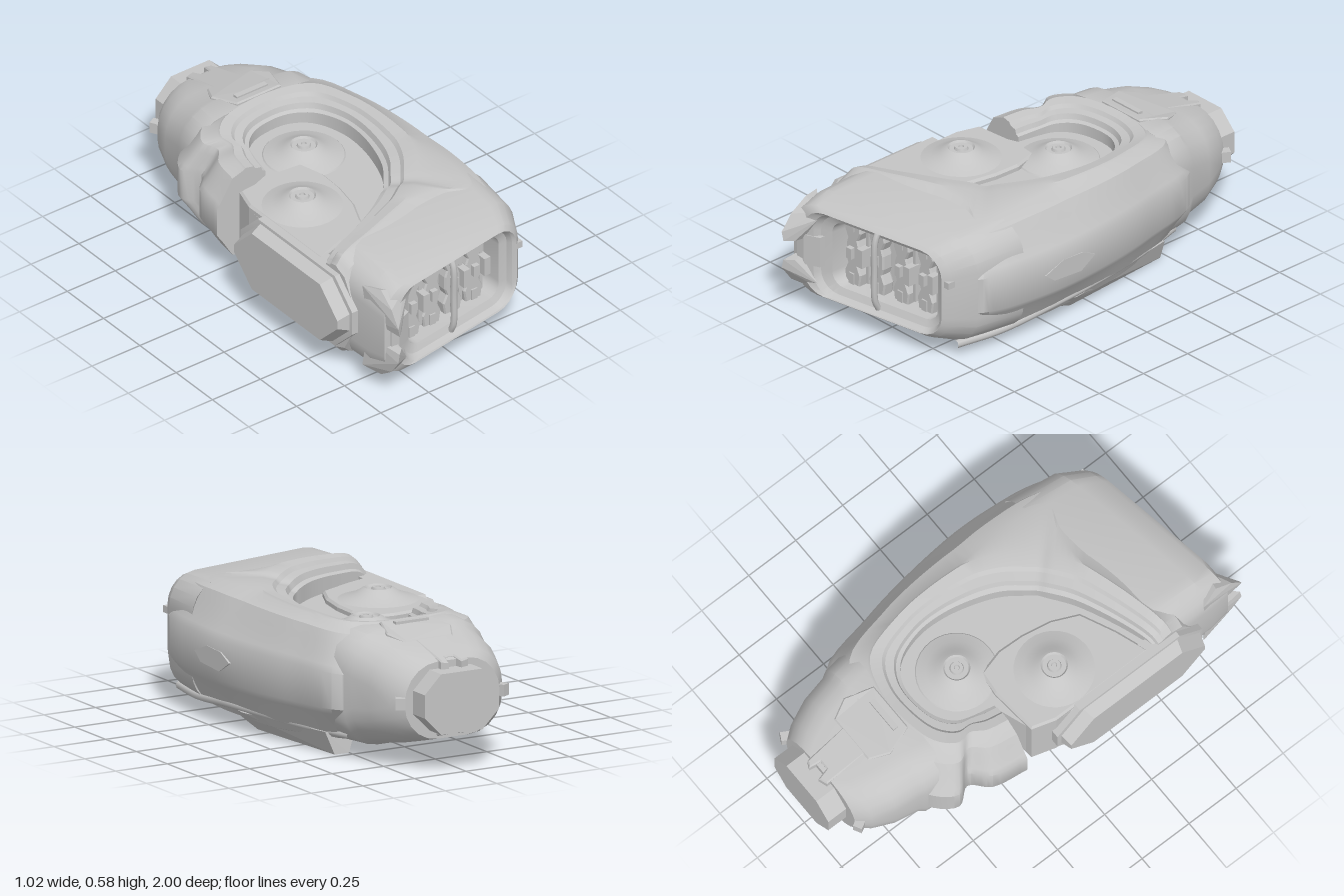
import * as THREE from 'three';
import { mergeVertices, toCreasedNormals } from 'three/addons/utils/BufferGeometryUtils.js';
import { ConvexGeometry } from 'three/addons/geometries/ConvexGeometry.js';

const MID = 0.295; // height of the plane about which most parts mirror
const V = (x, y, z) => new THREE.Vector3(x, y, z);

// Rounded (or, with seg = 1, chamfered) rectangle as a loop of [u, v]
function ring(u0, u1, v0, v1, r, seg) {
  const loop = [];
  [[u1 - r, v1 - r], [u0 + r, v1 - r], [u0 + r, v0 + r], [u1 - r, v0 + r]].forEach(([u, v], c) => {
    for (let i = 0; i <= seg; i++) {
      const a = (c + i / seg) * Math.PI / 2;
      loop.push([u + r * Math.cos(a), v + r * Math.sin(a)]);
    }
  });
  return loop;
}

// Skin over closed rings; either capped or joined end to start
function loft(rings, joined = false, crease = 0.6) {
  const n = rings[0].length, m = rings.length, pos = [], idx = [];
  rings.forEach(r => r.forEach(p => pos.push(p.x, p.y, p.z)));
  for (let i = 0; i < (joined ? m : m - 1); i++) {
    for (let j = 0; j < n; j++) {
      const a = i * n + j, b = i * n + (j + 1) % n;
      const c = ((i + 1) % m) * n + j, d = ((i + 1) % m) * n + (j + 1) % n;
      idx.push(a, b, c, b, d, c);
    }
  }
  if (!joined) {
    [0, m - 1].forEach(k => {
      const c = rings[k].reduce((s, p) => s.add(p), V(0, 0, 0)).divideScalar(n);
      const ci = pos.length / 3;
      pos.push(c.x, c.y, c.z);
      for (let j = 0; j < n; j++) {
        const a = k * n + j, b = k * n + (j + 1) % n;
        if (k === 0) idx.push(ci, b, a); else idx.push(ci, a, b);
      }
    });
  }
  // Turn the faces outward if the enclosed volume is negative
  const p = i => V(pos[3 * i], pos[3 * i + 1], pos[3 * i + 2]);
  let vol = 0;
  for (let i = 0; i < idx.length; i += 3) vol += p(idx[i]).dot(p(idx[i + 1]).cross(p(idx[i + 2])));
  if (vol < 0) for (let i = 0; i < idx.length; i += 3) [idx[i], idx[i + 1]] = [idx[i + 1], idx[i]];
  const g = new THREE.BufferGeometry();
  g.setAttribute('position', new THREE.Float32BufferAttribute(pos, 3));
  g.setIndex(idx);
  return toCreasedNormals(mergeVertices(g), crease);
}

export function createModel() {
  const model = new THREE.Group();
  model.name = 'enginePod';
  const grey = new THREE.MeshStandardMaterial({ color: 0xc4c4c4 });
  grey.name = 'hull grey';

  const add = (name, geo) => {
    const m = new THREE.Mesh(geo, grey);
    m.name = name;
    model.add(m);
    return m;
  };
  const box = (name, w, h, d, x, y, z) => add(name, new THREE.BoxGeometry(w, h, d).translate(x, y, z));
  const pipe = (name, pts, r) => add(name, new THREE.TubeGeometry(
    new THREE.CatmullRomCurve3(pts.map(p => V(...p))), 48, r, 8));
  const slab = (pts, top, depth, bevel = 0) => new THREE.ExtrudeGeometry(
    new THREE.Shape(pts.map(p => new THREE.Vector2(...p))),
    { depth, bevelEnabled: bevel > 0, bevelSize: bevel, bevelThickness: bevel, bevelSegments: 1 })
    .rotateX(Math.PI / 2).translate(0, top, 0);

  // Hull: outer x, z, inner x, z, top y, bottom y, swept round the recess
  const stations = [
    [-0.435, 0.73, -0.435, 0.52, 0.5, 0.09], [-0.39, 0.73, -0.39, 0.51, 0.545, 0.05],
    [-0.2, 0.71, -0.25, 0.46, 0.57, 0.025],
    [0.05, 0.67, -0.08, 0.38, 0.582, 0.012], [0.3, 0.64, 0.02, 0.31, 0.577, 0.02],
    [0.43, 0.68, 0.06, 0.28, 0.565, 0.035], [0.475, 0.58, 0.09, 0.24, 0.572, 0.025],
    [0.5, 0.4, 0.14, 0.17, 0.58, 0.015], [0.508, 0.2, 0.18, 0.08, 0.58, 0.012],
    [0.48, -0.1, 0.22, -0.08, 0.577, 0.015], [0.44, -0.32, 0.22, -0.22, 0.572, 0.03],
    [0.36, -0.6, 0.17, -0.35, 0.56, 0.05], [0.15, -0.66, 0.08, -0.41, 0.555, 0.055],
    [-0.1, -0.66, -0.05, -0.41, 0.555, 0.055], [-0.32, -0.61, -0.13, -0.38, 0.55, 0.06],
    [-0.41, -0.5, -0.18, -0.33, 0.54, 0.065], [-0.36, -0.42, -0.2, -0.27, 0.53, 0.07],
    [-0.43, -0.34, -0.21, -0.22, 0.525, 0.075], [-0.46, -0.18, -0.22, -0.165, 0.52, 0.08]];
  const outer = new THREE.CatmullRomCurve3(stations.map(s => V(s[0], s[4], s[1])));
  const inner = new THREE.CatmullRomCurve3(stations.map(s => V(s[2], s[5], s[3])));
  const hullRings = [], lip = [];
  for (let i = 0; i <= 90; i++) {
    const o = outer.getPoint(i / 90), n = inner.getPoint(i / 90);
    const len = Math.hypot(n.x - o.x, n.z - o.z), k = Math.min(1, len / 0.34);
    // Distance inward from the outer edge, and share of the half height;
    // the lip steps down twice into the recess
    const profile = [[0, 0.3], [0.02 * k, 0.4], [0.05 * k, 0.55], [0.076 * k, 0.7], [0.108 * k, 0.87],
      [0.19 * k, 0.97], [len - 0.14 * k, 1], [len - 0.085 * k, 0.97], [len - 0.07 * k, 0.91],
      [len - 0.03 * k, 0.89], [len - 0.02 * k, 0.8], [len, 0.77], [len, 0.4]];
    const at = (d, y) => V(o.x + (n.x - o.x) * d / len, y, o.z + (n.z - o.z) * d / len);
    hullRings.push([
      ...profile.map(([d, h]) => at(d, MID + (o.y - MID) * h)),
      ...profile.reverse().map(([d, h]) => at(d, MID - (MID - n.y) * h))]);
    lip.push([n.x, n.z]);
  }
  add('hull', loft(hullRings));

  // Recess floor and the raised panel on both faces
  add('recessFloor', slab([...lip, [-0.4, -0.1], [-0.43, 0]], 0.445, 0.30));
  add('recessPanel', slab([[-0.39, -0.1], [-0.18, -0.12], [-0.08, -0.11], [-0.05, 0], [-0.055, 0.12],
    [-0.08, 0.25], [-0.13, 0.36], [-0.28, 0.43], [-0.42, 0.48], [-0.42, 0]], 0.462, 0.334, 0.01));

  // Domed hubs with a sunken bolt
  const hubGeo = toCreasedNormals(new THREE.LatheGeometry([[0.19, -0.02], [0.17, 0.002], [0.13, 0.014],
    [0.09, 0.032], [0.07, 0.046], [0.057, 0.052], [0.05, 0.043], [0.03, 0.043], [0.026, 0.054],
    [0.012, 0.054], [0.01, 0.046], [0, 0.046]].map(p => new THREE.Vector2(...p)), 32), 0.5);
  [[0, -0.19, 0.448], [-0.25, 0.13, 0.47]].forEach(([x, z, y]) => {
    add('upperHub', hubGeo).position.set(x, y, z);
    const low = add('lowerHub', hubGeo);
    low.position.set(x, 2 * MID - y, z);
    low.rotation.x = Math.PI;
  });

  // Intake mouth: rings run back to front over the rim, then into the throat
  const mouth = [[-0.43, 0.47, 0.035, 0.56, 0.15, 0.52], [-0.43, 0.44, 0.05, 0.545, 0.14, 0.75],
    [-0.42, 0.385, 0.085, 0.51, 0.12, 0.845], [-0.36, 0.36, 0.1, 0.495, 0.11, 0.865],
    [-0.31, 0.34, 0.1, 0.49, 0.09, 0.855], [-0.295, 0.33, 0.115, 0.48, 0.09, 0.83],
    [-0.25, 0.295, 0.145, 0.45, 0.06, 0.815], [-0.24, 0.29, 0.15, 0.445, 0.06, 0.7]];
  add('intakeMouth', loft(mouth.map(([x0, x1, y0, y1, r, z]) =>
    ring(x0, x1, y0, y1, r, 5).map(([x, y]) => V(x, y, z - 0.175 * x))), true, 0.45));

  // Vanes, lugs and guard bar inside the mouth
  const wallZ = x => 0.715 - 0.175 * x, vaneZ = x => 0.75 - 0.175 * x;
  add('throatWall', new ConvexGeometry([-0.27, 0.31].flatMap(x => [0.13, 0.47].flatMap(y =>
    [0, -0.03].map(d => V(x, y, wallZ(x) + d))))));
  const half = [[0.035, 0.15], [0.043, 0.1], [0.024, 0.06], [0.034, 0.03]];
  const edge = [...half, ...half.map(([w, h]) => [w, -h]).reverse()];
  const vaneGeo = new THREE.ExtrudeGeometry(new THREE.Shape([...edge, ...edge.map(([w, h]) => [-w, h]).reverse()]
    .map(p => new THREE.Vector2(...p))), { depth: 0.04, bevelSize: 0.005, bevelThickness: 0.008, bevelSegments: 1 });
  [-0.19, -0.065, 0.06, 0.185].forEach(x => {
    add('vane', vaneGeo).position.set(x, 0.3, vaneZ(x) - 0.03);
    box('vaneStud', 0.03, 0.05, 0.03, x, 0.3, vaneZ(x) + 0.025);
    [-1, 1].forEach(s => box('vaneFoot', 0.03, 0.05, 0.02, x, 0.3 + s * 0.125, vaneZ(x) + 0.015));
  });
  [-0.125, 0.118, 0.24].forEach(x => {
    box('lug', 0.032, 0.085, 0.06, x, 0.3, vaneZ(x) + 0.02);
    box('lugRail', 0.016, 0.27, 0.03, x, 0.3, vaneZ(x) - 0.01);
  });
  pipe('guardBar', [[-0.003, 0.115, 0.825], [-0.003, 0.16, 0.845], [-0.003, 0.3, 0.848],
    [-0.003, 0.44, 0.845], [-0.003, 0.485, 0.825]], 0.014);

  // Prongs at the tip of the mouth, and the window between them
  [1, -1].forEach(s => add('prong', new ConvexGeometry([
    [-0.43, 0.2, 0.78], [-0.4, 0.212, 0.87], [-0.3, 0.18, 0.89], [-0.29, 0.155, 0.9], [-0.405, 0.155, 0.95],
    [-0.365, 0.045, 0.965], [-0.408, 0.085, 1.0], [-0.4, 0.045, 0.998], [-0.42, 0.045, 0.8], [-0.34, 0.05, 0.85]]
    .map(([x, y, z]) => V(x, MID + s * y, z)))));
  add('mouthWindow', slab([[-0.39, 0.84], [-0.28, 0.84], [-0.28, 0.9], [-0.35, 0.93], [-0.39, 0.93]], 0.365, 0.14));
  box('cheekLatch', 0.05, 0.03, 0.04, 0.37, 0.37, 0.775);

  // Chamfered flange on the open side
  add('sideFlange', loft([[-0.38, -0.02, 0.75, 0.12, 0.47], [-0.46, -0.02, 0.75, 0.12, 0.47],
    [-0.462, 0, 0.735, 0.135, 0.457], [-0.515, 0.01, 0.72, 0.155, 0.435]]
    .map(([x, z0, z1, y0, y1]) => ring(z0, z1, y0, y1, 0.12, 1).map(([z, y]) => V(x, y, z))), false, 0.2));

  // Tail cowl and the octagonal shaft end
  const tail = [[-0.34, 0.37, 0.055, 0.548, -0.5], [-0.33, 0.355, 0.058, 0.545, -0.61],
    [-0.315, 0.34, 0.075, 0.53, -0.64], [-0.3, 0.32, 0.09, 0.51, -0.75],
    [-0.265, 0.28, 0.115, 0.48, -0.85], [-0.22, 0.24, 0.13, 0.46, -0.905]];
  add('tailCowl', loft(tail.map(([x0, x1, y0, y1, z]) =>
    ring(x0, x1, y0, y1, 0.16, 5).map(([x, y]) => V(x, y, z)))));
  add('shaftEnd', loft([-0.85, -1].map(z =>
    ring(-0.16, 0.2, 0.17, 0.43, 0.08, 1).map(([x, y]) => V(x, y, z))), false, 0.2));
  [[-0.225, -0.5], [0.245, 0.5]].forEach(([x, turn]) => {
    const lug = add('sideLug', new THREE.BoxGeometry(0.04, 0.05, 0.09));
    lug.position.set(x, 0.3, -0.875);
    lug.rotation.y = -turn;
  });

  // Spine and hatch plates lying on the slope of the tail, above and below
  const hatch = [[-0.13, -0.65], [-0.09, -0.73], [0.13, -0.73], [0.17, -0.65], [0.13, -0.53], [-0.09, -0.53]];
  const spine = [[-0.06, -0.7], [-0.05, -0.92], [-0.02, -0.93], [-0.01, -0.88], [0.04, -0.88],
    [0.05, -0.93], [0.07, -0.92], [0.08, -0.7]];
  [[hatch, 0.006, 'hatchPlate'], [spine, 0.004, 'spinePlate']].forEach(([pts, lift, name]) => {
    const g = slab(pts, lift + 0.548, 0.06, 0.006), p = g.attributes.position;
    for (let i = 0; i < p.count; i++) p.setY(i, p.getY(i) - 0.27 * Math.max(0, -0.58 - p.getZ(i)));
    g.computeVertexNormals();
    add(name, g);
    // Turned half round about the tail axis at x = 0.015
    add(name + 'Lower', g.clone().rotateZ(Math.PI).translate(0.03, 0.612, 0));
  });
  box('hatchSlot', 0.16, 0.012, 0.025, 0.01, 0.557, -0.57);

  // Skid and strake under the outer side, and the outer side plate
  add('skid', new ConvexGeometry([[0.3, 0, 0.1], [0.365, 0, 0.08], [0.25, 0, -0.47], [0.32, 0, -0.47],
    [0.3, 0.06, 0.32], [0.43, 0.1, 0.3], [0.43, 0.075, 0.1], [0.22, 0.08, -0.46], [0.36, 0.1, -0.46]]
    .map(p => V(...p))));
  pipe('strake', [[0.36, 0.055, 0.72], [0.4, 0.06, 0.5], [0.425, 0.09, 0.22], [0.41, 0.1, -0.05],
    [0.365, 0.1, -0.32], [0.3, 0.1, -0.56]], 0.018);
  add('sidePlate', new ConvexGeometry([0.485, 0.51].flatMap(x =>
    [[0.34, 0.25], [0.3, 0.35], [0.335, 0.14], [0.26, 0.3], [0.25, 0.15], [0.3, 0.07]]
      .map(([y, z]) => V(x, y, z)))));
  return model;
}
